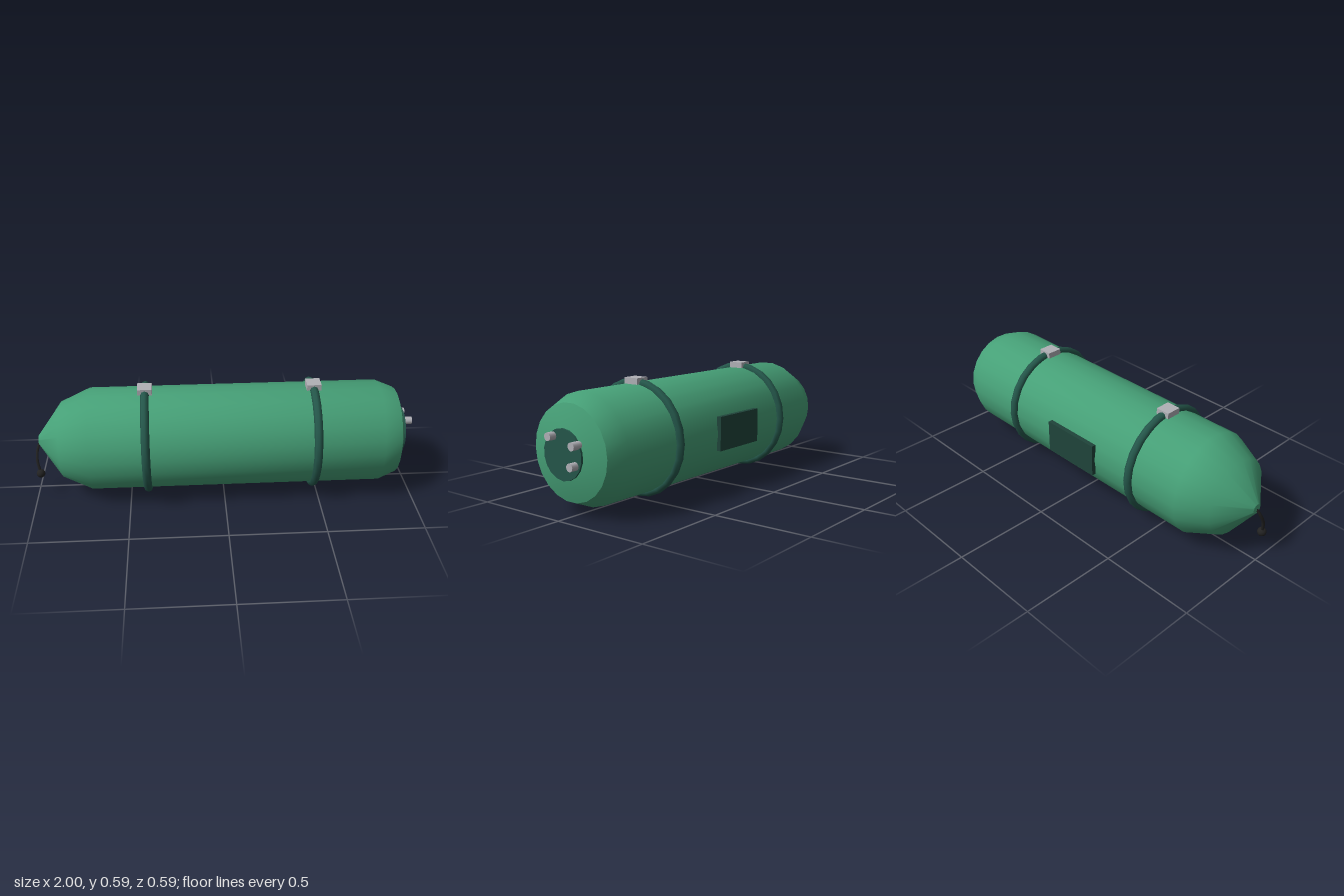
import * as THREE from 'three';
import { toCreasedNormals } from 'three/addons/utils/BufferGeometryUtils.js';

const CY = 0.298; // height of the long axis

const paint = (color) => new THREE.MeshStandardMaterial({ color });

export function createModel() {
  const group = new THREE.Group();
  const green = paint(0x46a077);
  const darkGreen = paint(0x24564a);
  const panelGreen = paint(0x1f443a);
  const metal = paint(0xb0b0b6);
  const black = paint(0x222222);

  const add = (name, geometry, material, x, y, z) => {
    const mesh = new THREE.Mesh(geometry, material);
    mesh.name = name;
    mesh.position.set(x, y, z);
    group.add(mesh);
    return mesh;
  };
  // Cylinder lying along x
  const rod = (radius, length, sides) =>
    new THREE.CylinderGeometry(radius, radius, length, sides).rotateZ(-Math.PI / 2);

  // Body: pointed nose at -x, bevelled tail at +x
  const profile = [
    [0, -0.975], [0.025, -0.975], [0.2, -0.85], [0.27, -0.695],
    [0.27, 0.82], [0.23, 0.916], [0.12, 0.953], [0, 0.953],
  ].map(([r, x]) => new THREE.Vector2(r, x));
  const body = new THREE.LatheGeometry(profile, 22).rotateZ(-Math.PI / 2);
  add('body', toCreasedNormals(body, 0.6), green, 0, CY, 0);

  // Tail plate with three studs
  add('tailPlate', rod(0.12, 0.03, 18).rotateX(Math.PI / 2), darkGreen, 0.948, CY, 0);
  for (const [y, z] of [[0.379, 0.055], [0.353, -0.094], [0.258, -0.081]]) {
    add('tailStud', rod(0.0195, 0.05, 14), metal, 0.975, y, z);
  }

  // Straps with buckles on top
  for (const x of [-0.405, 0.472]) {
    add('strap', new THREE.TorusGeometry(0.274, 0.022, 8, 24).rotateY(Math.PI / 2), darkGreen, x, CY, 0);
    add('buckle', new THREE.BoxGeometry(0.075, 0.031, 0.08), metal, x, 0.581, 0);
  }

  // Rectangular panel on the back
  add('backPanel', new THREE.BoxGeometry(0.33, 0.175, 0.024), panelGreen, 0, 0.3, -0.274);

  // Cord hanging from the nose, ending in a ball
  const cord = new THREE.CatmullRomCurve3([
    new THREE.Vector3(-0.965, 0.3, 0),
    new THREE.Vector3(-0.985, 0.255, 0.02),
    new THREE.Vector3(-0.99, 0.2, 0.045),
    new THREE.Vector3(-0.977, 0.127, 0.063),
  ]);
  add('cord', new THREE.TubeGeometry(cord, 14, 0.008, 6), black, 0, 0, 0);
  add('cordBall', new THREE.SphereGeometry(0.023, 12, 8), black, -0.977, 0.127, 0.063);

  return group;
}
